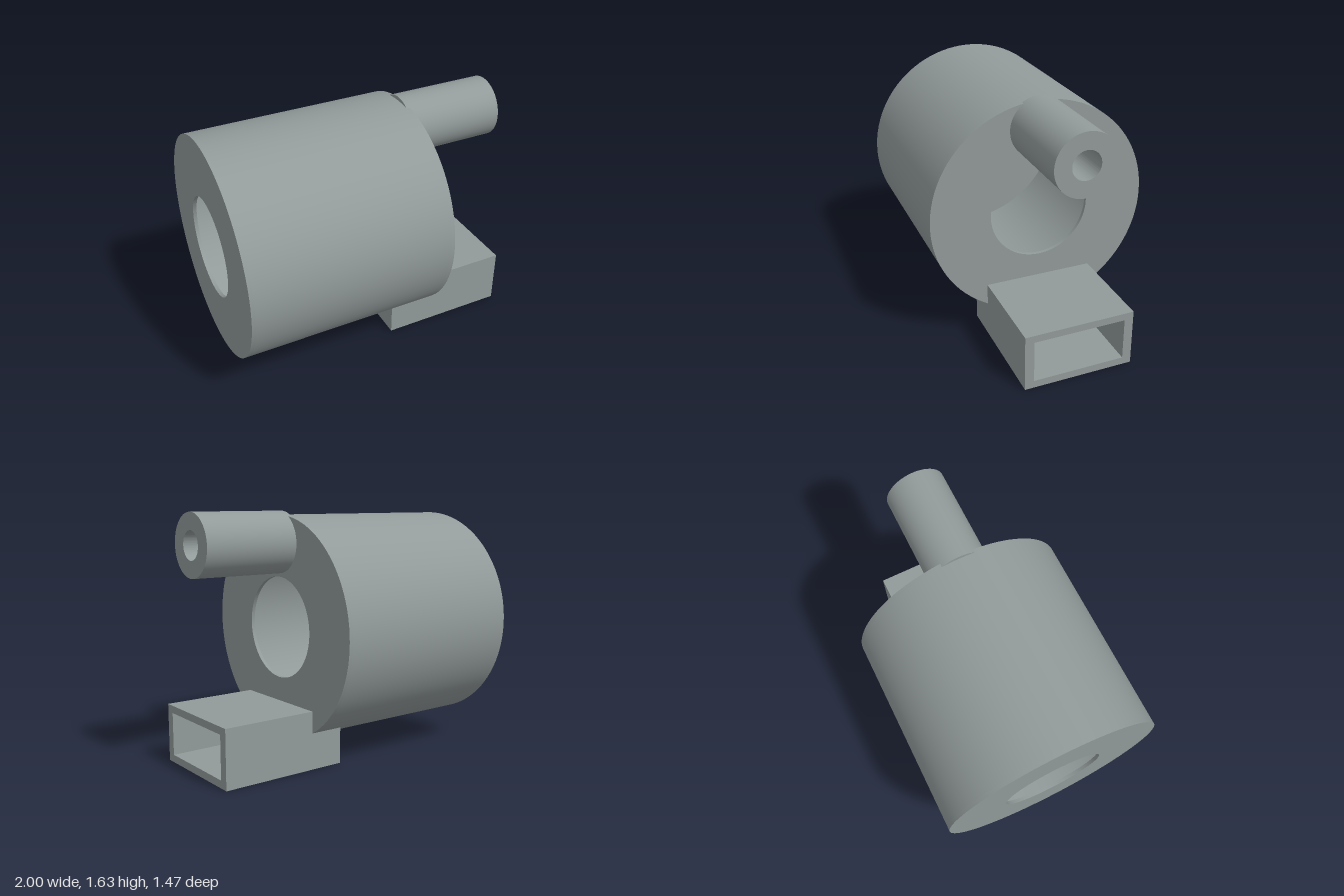
import * as THREE from 'three';
import { toCreasedNormals } from 'three/addons/utils/BufferGeometryUtils.js';

const AXIS_Y = 0.875, R = 0.733, BORE = 0.334, WALL = 0.024;
const DRUM_BACK = -1, DRUM_FRONT = 0.365;
const PIPE_Y = 1.432, PIPE_R = 0.201, PIPE_BORE = 0.092;

const circle = (y, r) => new THREE.Path().absarc(0, y, r, 0, Math.PI * 2);
const poly = (pts) => new THREE.Shape(pts.map(([z, y]) => new THREE.Vector2(z, y)));
const rect = (z0, z1, y0, y1) => poly([[z0, y0], [z1, y0], [z1, y1], [z0, y1]]);

// Solid of a z-y section with holes, running along x from x0 to x1
function section(group, name, outline, holes, x0, x1, material) {
  const shape = new THREE.Shape(outline.getPoints(48));
  shape.holes.push(...holes);
  const raw = new THREE.ExtrudeGeometry(shape, { depth: x1 - x0, bevelEnabled: false, curveSegments: 48 });
  raw.rotateY(Math.PI / 2).translate(x0, 0, 0);
  const mesh = new THREE.Mesh(toCreasedNormals(raw, 0.5), material);
  mesh.name = name;
  group.add(mesh);
}

export function createModel() {
  const model = new THREE.Group();
  model.name = 'drumWithPipeAndDuct';
  const paint = new THREE.MeshStandardMaterial({ color: 0x929a9a });
  const add = (name, outline, holes, x0, x1) => section(model, name, outline, holes, x0, x1, paint);

  // Hollow drum: shell between two thin end plates
  const disc = circle(AXIS_Y, R), bore = circle(AXIS_Y, BORE);
  add('drumShell', disc, [circle(AXIS_Y, R - WALL)], DRUM_BACK + WALL, DRUM_FRONT - WALL);
  add('drumBackPlate', disc, [bore], DRUM_BACK, DRUM_BACK + WALL);

  // Front plate with a pipe opening and two slots at the chamber floor
  const slots = [-1, 1].map((s) => poly(
    [[0.13, 0.17], [0.19, 0.17], [0.23, 0.185], [0.23, 0.215], [0.13, 0.215]].map(([z, y]) => [s * z, y])));
  add('drumFrontPlate', disc, [bore, circle(PIPE_Y, PIPE_BORE), ...slots], DRUM_FRONT - WALL, DRUM_FRONT);

  // Pipe on the upper front of the drum
  add('pipe', circle(PIPE_Y, PIPE_R), [circle(PIPE_Y, PIPE_BORE)], DRUM_FRONT - WALL, 1);

  // Rectangular duct, open at its outer end
  const joint = 0.355;
  add('duct', rect(-0.365, 0.365, 0, 0.382), [rect(-0.305, 0.305, 0.05, 0.333)], joint, 1);

  // Duct trough running on under the drum
  add('ductTrough', poly([
    [-0.365, 0], [0.365, 0], [0.365, 0.252], [0.305, 0.22],
    [0.305, 0.05], [-0.305, 0.05], [-0.305, 0.22], [-0.365, 0.252],
  ]), [], 0.19, joint);

  // Back wall of the trough, its top following the drum and notched twice
  const arc = (z) => [z, AXIS_Y - Math.sqrt(0.72 ** 2 - z * z)];
  const half = [arc(0.365), arc(0.3), arc(0.23), [0.23, 0.17], [0.13, 0.17], arc(0.13), arc(0.06)];
  const mirrored = half.map(([z, y]) => [-z, y]).reverse();
  add('ductBackWall', poly([[-0.365, 0], [0.365, 0], ...half, ...mirrored]), [], 0.14, 0.19);

  return model;
}
